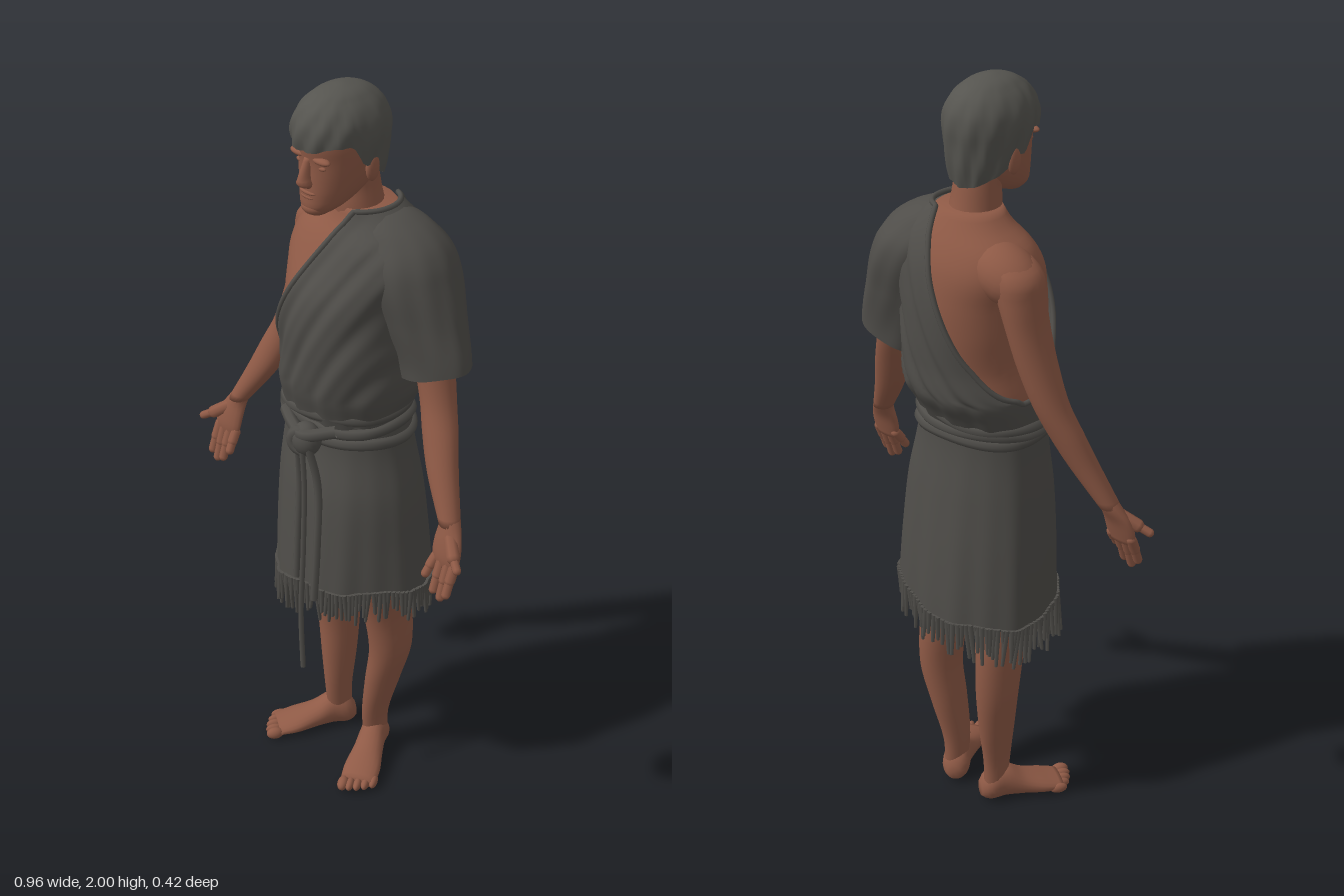
import * as THREE from 'three';
import { mergeGeometries } from 'three/addons/utils/BufferGeometryUtils.js';

const { cos, sin, abs, sign, pow, max, PI } = Math;
const { lerp, clamp, smoothstep } = THREE.MathUtils;
const V = (x, y, z) => new THREE.Vector3(x, y, z);

// Skin of points P(angle, v), closed round the angle, with optional end caps
function surface(P, n, m, bottomCap = true, topCap = true) {
  const pos = [], idx = [], centre = [V(0, 0, 0), V(0, 0, 0)];
  for (let i = 0; i <= m; i++) for (let j = 0; j < n; j++) {
    const p = P((j / n) * 2 * PI, i / m);
    pos.push(...p);
    if (i === 0) centre[0].addScaledVector(V(...p), 1 / n);
    if (i === m) centre[1].addScaledVector(V(...p), 1 / n);
  }
  for (let i = 0; i < m; i++) for (let j = 0; j < n; j++) {
    const k = (j + 1) % n, a = i * n + j, b = i * n + k;
    idx.push(a, a + n, b, a + n, b + n, b);
  }
  const c = n * (m + 1);
  pos.push(...centre[0], ...centre[1]);
  for (let j = 0; j < n; j++) {
    const k = (j + 1) % n;
    if (bottomCap) idx.push(c, j, k);
    if (topCap) idx.push(c + 1, m * n + k, m * n + j);
  }
  const g = new THREE.BufferGeometry();
  g.setAttribute('position', new THREE.Float32BufferAttribute(pos, 3));
  g.setIndex(idx);
  g.computeVertexNormals();
  return g;
}

// Smooth point on a stack of sections [y, cx, cz, rx, rz]; k scales the radii
function stack(sections, power = 1) {
  const f = new THREE.CubicInterpolant(sections.map(s => s[0]), sections.flatMap(s => s.slice(1)), 4);
  const round = t => sign(t) * pow(abs(t), power);
  return (a, y, k = 1) => {
    const [cx, cz, rx, rz] = f.evaluate(y);
    return [cx + rx * k * round(cos(a)), y, cz + rz * k * round(sin(a))];
  };
}
function loft(sections, n = 20, m = 24, power = 1) {
  const at = stack(sections, power), y0 = sections[0][0], y1 = sections[sections.length - 1][0];
  return surface((a, v) => at(a, lerp(y0, y1, v)), n, m);
}
function ball(x, y, z, rx, ry, rz, tilt = 0) {
  return new THREE.SphereGeometry(1, 20, 14).scale(rx, ry, rz).rotateZ(tilt).translate(x, y, z);
}
function bone(a, b, r) {
  const d = b.clone().sub(a), g = new THREE.CapsuleGeometry(r, d.length(), 4, 8);
  g.applyQuaternion(new THREE.Quaternion().setFromUnitVectors(V(0, 1, 0), d.normalize()));
  const mid = a.clone().add(b).multiplyScalar(0.5);
  return g.translate(mid.x, mid.y, mid.z);
}
function rope(points, r, closed = false, seg = 40) {
  return new THREE.TubeGeometry(new THREE.CatmullRomCurve3(points, closed), seg, r, 7, closed);
}

export function createModel() {
  const model = new THREE.Group();
  const mat = (name, color, side = THREE.FrontSide) => {
    const m = new THREE.MeshStandardMaterial({ color, side });
    m.name = name;
    return m;
  };
  const skin = mat('skin', 0x8f5a46), cloth = mat('cloth', 0x4f4d49, THREE.DoubleSide);
  const hair = mat('hair', 0x55544f, THREE.DoubleSide);
  const add = (name, geometry, material) => {
    const mesh = new THREE.Mesh(geometry, material);
    mesh.name = name;
    model.add(mesh);
  };

  // Torso, bare shoulder and neck
  const body = [
    [1.12, -0.01, 0, 0.16, 0.13], [1.18, -0.01, -0.008, 0.172, 0.152], [1.23, -0.005, -0.016, 0.18, 0.173],
    [1.32, 0.005, -0.017, 0.174, 0.18], [1.42, 0, -0.02, 0.175, 0.182], [1.5, 0, -0.027, 0.182, 0.174],
    [1.58, 0, -0.042, 0.2, 0.147], [1.63, 0.005, -0.047, 0.18, 0.122], [1.67, 0.005, -0.05, 0.125, 0.095],
    [1.705, 0, -0.045, 0.082, 0.077]];
  add('torso', loft(body.map(([y, x, z, a, b]) => [y - 0.008, x, z, a * 0.94, b * 0.92]), 40, 40, 0.9), skin);
  add('shoulder', ball(-0.132, 1.572, -0.075, 0.108, 0.07, 0.076, 0.4), skin);
  add('neck', loft([[1.6, 0, -0.05, 0.075, 0.075], [1.7, -0.008, -0.033, 0.062, 0.064],
    [1.75, -0.01, -0.03, 0.057, 0.058], [1.8, -0.01, -0.02, 0.056, 0.06]]), skin);

  // Head, nose, ears and features
  const skull = [
    [1.703, -0.01, 0.09, 0.022, 0.025], [1.72, -0.01, 0.074, 0.043, 0.054], [1.75, -0.01, 0.045, 0.061, 0.084],
    [1.79, -0.01, 0.024, 0.075, 0.102], [1.84, -0.01, 0.018, 0.084, 0.106], [1.88, -0.01, 0.018, 0.087, 0.111],
    [1.93, -0.01, 0.018, 0.081, 0.104], [1.965, -0.01, 0.018, 0.06, 0.08], [1.988, -0.01, 0.018, 0.025, 0.035]];
  add('head', loft(skull, 32, 30, 0.95), skin);
  add('nose', loft([[1.776, -0.01, 0.122, 0.012, 0.01], [1.786, -0.01, 0.13, 0.02, 0.02],
    [1.8, -0.01, 0.13, 0.015, 0.02], [1.85, -0.01, 0.117, 0.009, 0.012]], 12, 10), skin);
  add('chin', ball(-0.01, 1.722, 0.105, 0.032, 0.02, 0.026), skin);
  add('upperLip', ball(-0.01, 1.764, 0.122, 0.026, 0.006, 0.009), skin);
  add('lowerLip', ball(-0.01, 1.752, 0.122, 0.022, 0.006, 0.008), skin);
  for (const s of [-1, 1]) {
    add('ear', ball(-0.01 + s * 0.087, 1.815, 0, 0.011, 0.034, 0.02), skin);
    add('brow', ball(-0.01 + s * 0.036, 1.85, 0.113, 0.028, 0.009, 0.013), skin);
    add('eyelid', ball(-0.01 + s * 0.034, 1.83, 0.11, 0.014, 0.006, 0.007), skin);
  }

  // Hair: larger cap with a swept fringe, sideburns and a low nape
  const cap = stack([
    [1.74, -0.01, 0.0, 0.068, 0.088], [1.8, -0.01, 0.01, 0.088, 0.111], [1.85, -0.01, 0.014, 0.096, 0.12],
    [1.9, -0.01, 0.016, 0.099, 0.125], [1.94, -0.01, 0.016, 0.089, 0.115], [1.975, -0.01, 0.016, 0.062, 0.085],
    [1.995, -0.01, 0.016, 0.03, 0.04], [2, -0.01, 0.016, 0.008, 0.01]], 0.95);
  add('hair', surface((a, v) => {
    const s = sin(a);
    const low = s > 0 ? lerp(1.828, 1.882, smoothstep(s, 0.1, 0.4)) - 0.012 * smoothstep(s, 0.7, 1) + 0.012 * cos(a) * s
      : lerp(1.828, 1.752, pow(-s, 0.7));
    return cap(a, lerp(low, 2, 1 - pow(1 - v, 1.5)), 1 + (0.025 * sin(11 * a + 9 * v) + 0.015 * sin(23 * a - 7 * v)) * (1 - v));
  }, 72, 24, false), hair);

  // Arms and open hands
  for (const s of [-1, 1]) {
    const side = sections => sections.map(([y, x, ...r]) => [y, s * x, ...r]);
    add('arm', loft(side([
      [0.99, 0.386, 0.033, 0.027, 0.027], [1.1, 0.325, 0, 0.042, 0.036], [1.18, 0.29, -0.025, 0.047, 0.041],
      [1.25, 0.262, -0.045, 0.045, 0.045], [1.35, 0.23, -0.06, 0.046, 0.053], [1.45, 0.205, -0.07, 0.047, 0.06],
      [1.53, 0.188, -0.075, 0.054, 0.064], [1.58, 0.177, -0.075, 0.056, 0.064], [1.61, 0.155, -0.072, 0.043, 0.052],
      [1.628, 0.13, -0.068, 0.02, 0.03]]), 20, 36), skin);
    add('palm', loft(side([[0.885, 0.403, 0.063, 0.036, 0.011], [0.91, 0.402, 0.06, 0.043, 0.016],
      [0.95, 0.398, 0.05, 0.041, 0.02], [0.99, 0.387, 0.034, 0.029, 0.025], [1.02, 0.37, 0.024, 0.026, 0.026]]), 16, 14), skin);
    const fingers = [[0.371, 0.364, 0.858], [0.392, 0.392, 0.824], [0.414, 0.415, 0.813], [0.433, 0.434, 0.83]];
    for (const [x0, x1, y1] of fingers) {
      const mid = V(s * (x0 + x1) / 2, (0.9 + y1) / 2, 0.077);
      add('finger', mergeGeometries([bone(V(s * x0, 0.9, 0.062), mid, 0.0135),
        bone(mid, V(s * x1, y1, 0.09), 0.0115)]), skin);
    }
    add('thumb', mergeGeometries([bone(V(s * 0.405, 0.965, 0.05), V(s * 0.44, 0.938, 0.075), 0.017),
      bone(V(s * 0.44, 0.938, 0.075), V(s * 0.467, 0.921, 0.09), 0.011)]), skin);
  }

  // Legs and turned-out feet
  const legX = { '-1': [0.1, 0.1, 0.108, 0.117, 0.12, 0.115, 0.1], 1: [0.045, 0.045, 0.063, 0.083, 0.08, 0.088, 0.1] };
  const legShape = [[0.04, -0.06, 0.028, 0.036], [0.12, -0.055, 0.029, 0.042], [0.25, -0.065, 0.041, 0.055],
    [0.37, -0.073, 0.051, 0.063], [0.5, -0.066, 0.057, 0.073], [0.65, -0.04, 0.073, 0.085], [0.88, -0.02, 0.09, 0.1]];
  for (const s of [-1, 1]) {
    add('leg', loft(legShape.map(([y, ...r], i) => [y, s * legX[s][i], ...r]), 24, 30), skin);
    const foot = [loft([[-0.046, 0, -0.035, 0.02, 0.022], [-0.03, 0, -0.042, 0.034, 0.04], [0.02, 0, -0.052, 0.036, 0.05],
      [0.07, 0, -0.037, 0.041, 0.036], [0.13, 0, -0.025, 0.05, 0.025], [0.178, 0, -0.018, 0.047, 0.016]], 20, 20).rotateX(PI / 2)];
    for (let i = 0; i < 5; i++) // big toe on the inner side
      foot.push(ball(s * (-0.036 + i * 0.0195), 0.017, 0.192 - i * i * 0.0018, i ? 0.011 : 0.015, i ? 0.014 : 0.017, 0.024));
    for (const g of foot) {
      g.rotateY(s * 0.53).translate(s * legX[s][0], 0, -0.055);
      add('foot', g, skin);
    }
  }

  // Draped cloth: its upper edge runs from the left of the neck to the right hip
  const drapeAt = stack(body, 0.9);
  const edgeX = (a, y) => {
    const u = clamp((y - 1.24) / 0.46, 0, 1);
    return lerp(-0.18, 0.045, pow(u, lerp(0.65, 1, (sin(a) + 1) / 2)));
  };
  const drape = (a, v) => {
    let top = 1.23;
    while (top < 1.7 && drapeAt(a, top)[0] > edgeX(a, top)) top += 0.002;
    const y = lerp(1.15, top, v), x = drapeAt(a, y)[0];
    const fold = sin((x - edgeX(a, y)) * 75 + 2 * sin(a)) + 0.5 * sin((x - edgeX(a, y)) * 140);
    return drapeAt(a, y, 1.0 + 0.018 * fold);
  };
  add('drape', surface(drape, 96, 44, false, false), cloth);
  const rim = Array.from({ length: 64 }, (_, i) => V(...drape((i / 64) * 2 * PI, 1)));
  add('drapeEdge', rope(rim, 0.007, true, 160), cloth);

  // Cape-like sleeve flowing from the left side of the neck over the arm
  const sleeveAt = stack([
    [1.26, 0.232, -0.07, 0.088, 0.076], [1.34, 0.213, -0.07, 0.111, 0.081], [1.45, 0.172, -0.068, 0.12, 0.105],
    [1.55, 0.14, -0.066, 0.117, 0.124], [1.6, 0.122, -0.064, 0.113, 0.118], [1.64, 0.103, -0.06, 0.1, 0.096],
    [1.672, 0.085, -0.055, 0.07, 0.072], [1.69, 0.075, -0.052, 0.035, 0.04]]);
  add('sleeve', surface((a, v) => sleeveAt(a, lerp(1.308 + 0.032 * cos(a), 1.69, v),
    1 + 0.025 * sin(5 * a + 1) * (1 - v) + 0.014 * sin(11 * a + 5 * v) * sin(PI * v)), 56, 32, false), cloth);

  // Skirt, narrower toward the front, with soft pleats and a slanting hem
  const skirtAt = stack([[0.5, 0.008, 0, 0.225, 0.188], [0.65, 0.006, 0, 0.22, 0.184], [0.8, 0.004, 0, 0.212, 0.173],
    [0.95, 0.002, 0, 0.199, 0.157], [1.08, -0.006, -0.004, 0.177, 0.138], [1.19, -0.01, -0.004, 0.166, 0.138]], 0.93);
  const hem = a => 0.64 + 0.03 * cos(a) + 0.032 * sin(a) + 0.006 * sin(5 * a);
  const skirt = (a, y) => {
    const [x, , z] = skirtAt(a, y, 1 + (1.19 - y) * (0.03 * sin(7 * a + 1) + 0.018 * sin(16 * a)));
    return [x * (1 - 0.35 * (1.19 - y) * max(0, sin(a))), y, z];
  };
  add('skirt', surface((a, v) => skirt(a, lerp(hem(a), 1.19, v)), 112, 26, false, false), cloth);

  // Fringe of uneven strands
  let seed = 7;
  const rnd = () => (seed = (seed * 16807) % 2147483647) / 2147483647;
  const strands = [];
  for (let i = 0; i < 120; i++) {
    const a = ((i + rnd() * 0.6) / 120) * 2 * PI, len = 0.05 + 0.05 * rnd() + 0.014 * (1 - cos(a));
    const [x, , z] = skirt(a, hem(a));
    const g = new THREE.CylinderGeometry(0.008, 0.0045, len, 5);
    strands.push(g.translate(0, -len / 2, 0).rotateZ((rnd() - 0.5) * 0.2).rotateX((rnd() - 0.5) * 0.15)
      .translate(x, hem(a) + 0.008, z));
  }
  add('fringe', mergeGeometries(strands), cloth);

  // Twisted sash, knot and hanging ends
  for (let k = 0; k < 3; k++) {
    const pts = Array.from({ length: 28 }, (_, i) => {
      const a = (i / 28) * 2 * PI;
      const y = 1.115 + k * 0.026 + 0.014 * cos(a) * (k - 0.5) + 0.005 * sin(3 * a + k * 2);
      const [x, , z] = skirtAt(a, y, 0.97);
      return V(x, y, z);
    });
    add('sash', rope(pts, 0.017, true, 100), cloth);
  }
  add('knot', ball(0.02, 1.118, 0.163, 0.04, 0.045, 0.036), cloth);
  add('knotLoop', new THREE.TorusGeometry(0.028, 0.016, 8, 18).rotateY(0.4).translate(0.018, 1.115, 0.174), cloth);
  add('knotFold', rope([V(-0.09, 1.14, 0.13), V(-0.03, 1.135, 0.16), V(0.03, 1.14, 0.18), V(0.09, 1.155, 0.13)], 0.016), cloth);
  add('sashEnd', rope([V(0.025, 1.12, 0.185), V(0.03, 1.0, 0.182), V(0.032, 0.8, 0.19), V(0.03, 0.6, 0.199), V(0.04, 0.43, 0.204)], 0.007), cloth);
  add('sashEnd', rope([V(0.04, 1.12, 0.18), V(0.06, 1.0, 0.165), V(0.07, 0.82, 0.178), V(0.068, 0.66, 0.188)], 0.01), cloth);
  add('sashEnd', rope([V(0.005, 1.12, 0.18), V(-0.003, 1.0, 0.168), V(0.002, 0.85, 0.18), V(0.004, 0.7, 0.19)], 0.009), cloth);

  return model;
}
